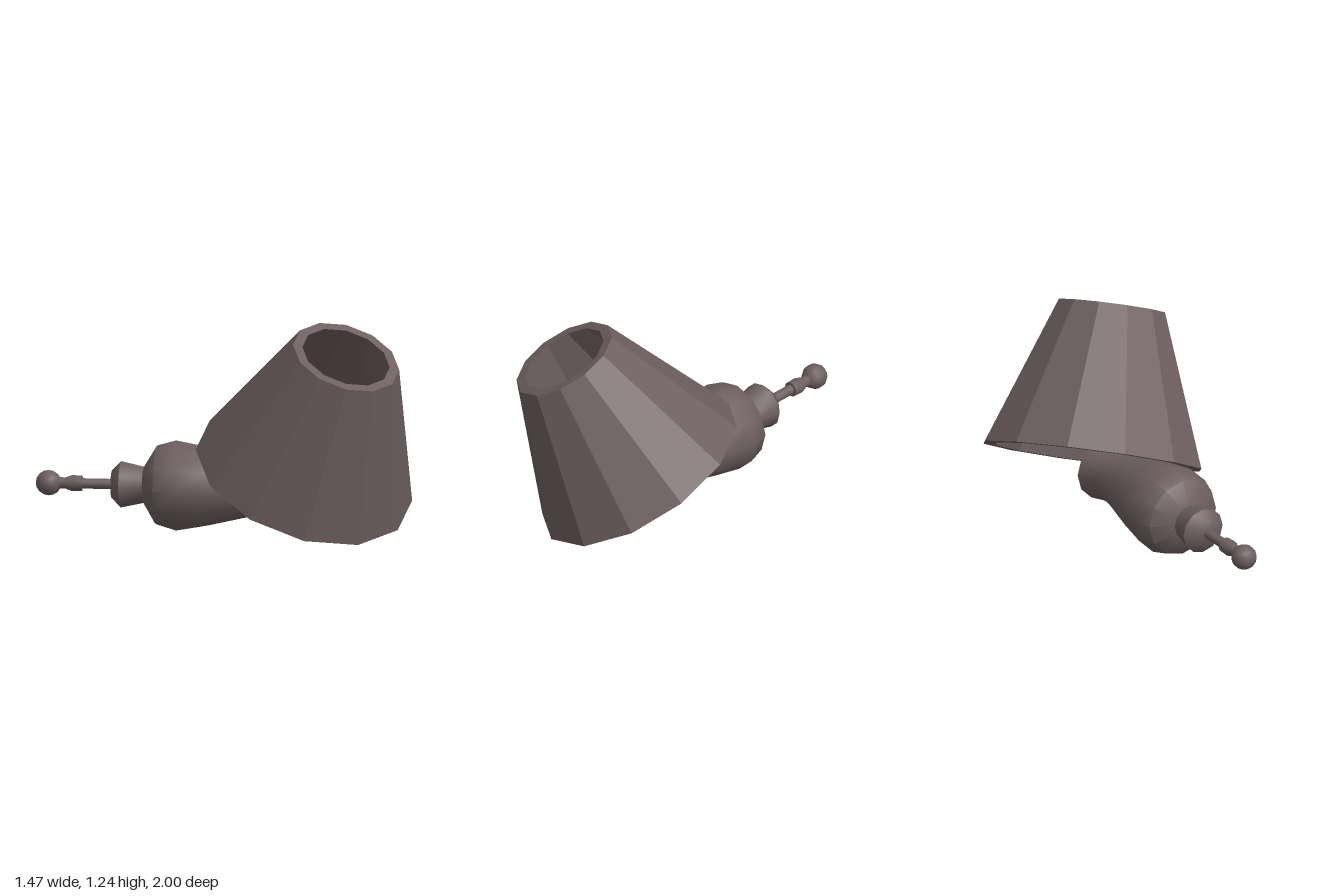
import * as THREE from 'three';
import { toCreasedNormals } from 'three/addons/utils/BufferGeometryUtils.js';

const SIDES = 12;

function lathe(profile, phase = 0) {
  const points = profile.map(([r, y]) => new THREE.Vector2(r, y));
  return new THREE.LatheGeometry(points, SIDES, phase, Math.PI * 2);
}

// Stands a group on the given origin with its local x and y along two directions.
function place(group, origin, xAxis, yAxis) {
  const y = new THREE.Vector3(...yAxis).normalize();
  const z = new THREE.Vector3(...xAxis).cross(y).normalize();
  const x = new THREE.Vector3().crossVectors(y, z);
  group.quaternion.setFromRotationMatrix(new THREE.Matrix4().makeBasis(x, y, z));
  group.position.set(...origin);
}

export function createModel() {
  const model = new THREE.Group();
  model.name = 'fallenLamp';
  const smooth = new THREE.MeshStandardMaterial({ color: 0x6e5f5f });
  const faceted = new THREE.MeshStandardMaterial({ color: 0x6e5f5f, flatShading: true });

  function add(parent, name, geometry, material) {
    const mesh = new THREE.Mesh(geometry, material);
    mesh.name = name;
    parent.add(mesh);
    return mesh;
  }
  const turned = (profile) => toCreasedNormals(lathe(profile), 0.8);

  // Faceted shade: a thick open cone tipped forwards
  const shade = new THREE.Group();
  shade.name = 'shade';
  add(shade, 'shadeShell', lathe([
    [0.645, 0], [0.316, 0.866], [0.26, 0.866], [0.575, 0], [0.645, 0],
  ], THREE.MathUtils.degToRad(13.4)), faceted);
  place(shade, [0.112, 0.33, 0.315], [1, 0, 0], [-0.14, 0.75, 0.41]);
  model.add(shade);

  // Lamp base lying on its side, foot first along local y
  const base = new THREE.Group();
  base.name = 'base';
  add(base, 'body', turned([
    [0, 0], [0.19, 0], [0.165, 0.11], [0.162, 0.19], [0.18, 0.29],
    [0.228, 0.495], [0.262, 0.68], [0.23, 0.79], [0.104, 0.866], [0, 0.866],
  ]), smooth);
  add(base, 'neck', turned([
    [0, 0.855], [0.104, 0.86], [0.135, 0.998], [0.08, 1.05], [0, 1.055],
  ]), smooth);
  add(base, 'rod', turned([
    [0, 1.0], [0.03, 1.0], [0.03, 1.25], [0, 1.25],
  ]), smooth);
  add(base, 'collar', turned([
    [0, 1.222], [0.045, 1.222], [0.047, 1.28], [0.032, 1.32], [0.036, 1.37], [0, 1.37],
  ]), smooth);
  const ball = add(base, 'finial', new THREE.SphereGeometry(0.074, SIDES, 8), smooth);
  ball.position.y = 1.415;
  place(base, [0.04, 0.263, 0.3], [0.866, 0, -0.5], [-0.5, 0, -0.866]);
  model.add(base);

  return model;
}
